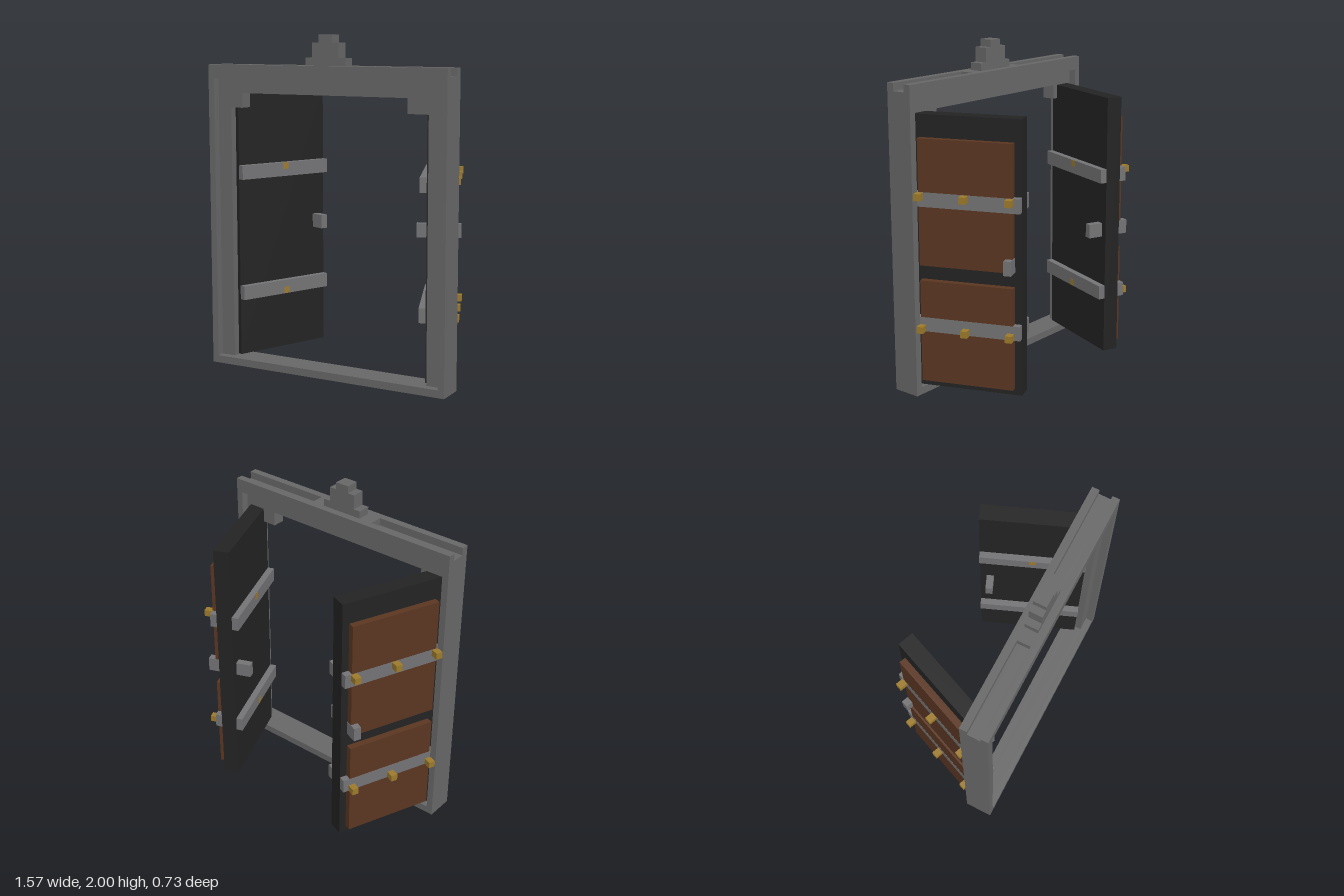
import * as THREE from 'three';

const mat = (name, color) => {
  const m = new THREE.MeshStandardMaterial({ color });
  m.name = name;
  return m;
};

export function createModel() {
  const stone = mat('stone grey', 0x676767);
  const iron = mat('iron grey', 0x737375);
  const dark = mat('dark wood', 0x232323);
  const brown = mat('brown wood', 0x5a3621);
  const brass = mat('brass', 0x9c7a2c);

  const model = new THREE.Group();
  model.name = 'gateway';

  // Box given by its low and high bounds on each axis
  const box = (parent, name, m, [x0, x1], [y0, y1], [z0, z1]) => {
    const mesh = new THREE.Mesh(new THREE.BoxGeometry(x1 - x0, y1 - y0, Math.abs(z1 - z0)), m);
    mesh.position.set((x0 + x1) / 2, (y0 + y1) / 2, (z0 + z1) / 2);
    mesh.name = name;
    parent.add(mesh);
  };

  // Flat ring cut from an outer and an inner outline, extruded from z0 to z1
  const ring = (parent, name, outer, inner, z0, z1) => {
    const points = (list) => list.map(([x, y]) => new THREE.Vector2(x, y));
    const shape = new THREE.Shape(points(outer));
    shape.holes.push(new THREE.Path(points(inner)));
    const geo = new THREE.ExtrudeGeometry(shape, { depth: z1 - z0, bevelEnabled: false });
    const mesh = new THREE.Mesh(geo, stone);
    mesh.position.z = z0;
    mesh.name = name;
    parent.add(mesh);
  };
  const rect = (w, y0, y1) => [[-w, y0], [w, y0], [w, y1], [-w, y1]];

  // Door frame: two thin rims around a deeper core with stepped upper corners
  const frame = new THREE.Group();
  frame.name = 'doorFrame';
  model.add(frame);
  ring(frame, 'frontRim', rect(0.78, 0, 1.825), rect(0.74, 0.045, 1.742), 0.315, 0.36);
  ring(frame, 'backRim', rect(0.78, 0, 1.825), rect(0.74, 0.045, 1.742), 0.19, 0.235);
  const opening = [
    [-0.65, 0.045], [0.65, 0.045], [0.65, 1.57], [0.52, 1.57],
    [0.52, 1.657], [-0.57, 1.657], [-0.57, 1.57], [-0.65, 1.57],
  ];
  ring(frame, 'frameCore', rect(0.78, 0, 1.78), opening, 0.235, 0.315);
  box(frame, 'grooveFill', stone, [-0.215, 0.215], [1.78, 1.825], [0.235, 0.315]);

  // Stepped ornament on the lintel
  [[0.13, 1.825, 1.87], [0.087, 1.87, 1.957], [0.043, 1.957, 2]].forEach(([w, y0, y1], i) =>
    box(frame, `finialStep${i + 1}`, stone, [-w, w], [y0, y1], [0.235, 0.315]));

  // Door leaves: local x runs from hinge to free edge, s * z points outward
  const thick = 0.097, width = 0.64;
  for (const s of [1, -1]) {
    const leaf = new THREE.Group();
    leaf.name = s > 0 ? 'leftDoor' : 'rightDoor';
    leaf.position.set(s * 0.625, 0, 0.28);
    leaf.rotation.y = THREE.MathUtils.degToRad(s > 0 ? 112 : 68);
    model.add(leaf);
    const part = (name, m, xs, ys, z0, z1) => box(leaf, name, m, xs, ys, [s * z0, s * z1]);

    part('slab', dark, [0, width], [0.048, 1.655], 0, thick);
    for (const ys of [[0.09, 0.7], [0.79, 1.525]]) {
      part('outerPanel', brown, [0.045, 0.597], ys, thick, thick + 0.04);
    }
    // Iron straps with brass studs
    for (const [y, studY] of [[0.395, 0.416], [1.135, 1.199]]) {
      part('innerStrap', iron, [0, width], [y, y + 0.085], -0.04, 0);
      part('outerStrap', iron, [0, width], [y, y + 0.085], thick, thick + 0.041);
      for (const t of [0.055, 0.32, 0.585]) {
        part('stud', brass, [t - 0.02, t + 0.02], [studY - 0.02, studY + 0.02], thick + 0.03, thick + 0.09);
      }
      part('studTip', brass, [0.3, 0.34], [studY - 0.02, studY + 0.02], -0.041, -0.036);
    }
    // Handle block through the leaf
    part('handle', iron, [0.556, 0.6], [0.787, 0.872], -0.09, thick + 0.083);
  }
  return model;
}
